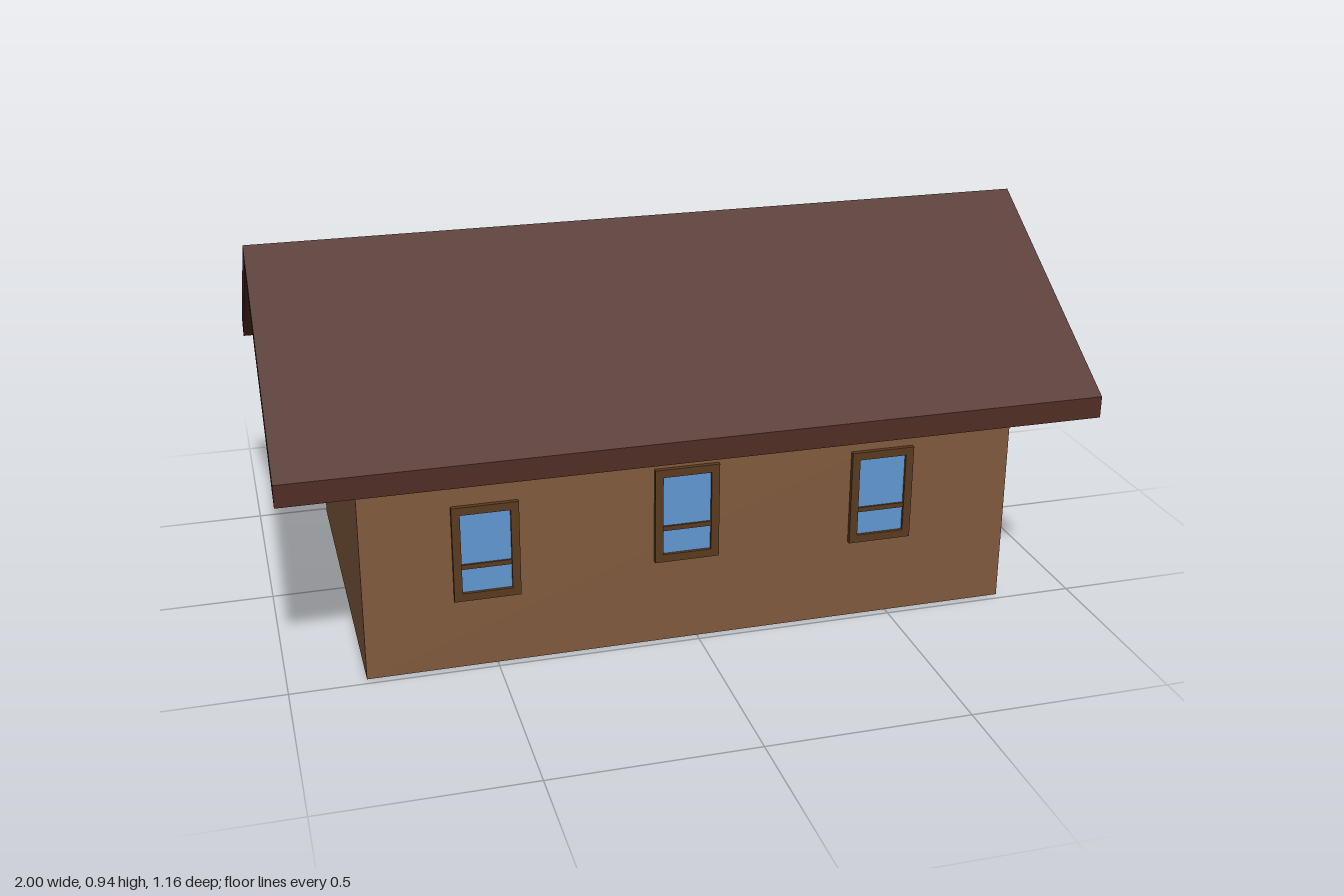
import * as THREE from 'three';

const mat = (color) => new THREE.MeshStandardMaterial({ color, flatShading: true });
const wallMat = mat(0x80593d), roofMat = mat(0x4f2c23), doorMat = mat(0x4c2a22);
const frameMat = mat(0x5a3a1e), glassMat = mat(0x5f96d0);

// House half-depth, and x of the two gable walls
const DEPTH = 0.48, X0 = -0.815, X1 = 0.81;

function add(parent, name, geometry, material, x = 0, y = 0, z = 0) {
  const mesh = new THREE.Mesh(geometry, material);
  mesh.name = name;
  mesh.position.set(x, y, z);
  parent.add(mesh);
  return mesh;
}

const box = (w, h, d) => new THREE.BoxGeometry(w, h, d);

// Extrude a (z, y) outline along x
function extrudeAlongX(points, x0, x1) {
  const shape = new THREE.Shape(points.map(([a, b]) => new THREE.Vector2(a, b)));
  const geometry = new THREE.ExtrudeGeometry(shape, { depth: x1 - x0, bevelEnabled: false });
  return geometry.rotateY(Math.PI / 2).translate(x0, 0, 0);
}

// Flat rectangular frame with an opening, facing +z, back at z = 0
function frameGeometry(w, h, border, depth) {
  const rect = (path, a, b) => path.moveTo(-a, -b).lineTo(a, -b).lineTo(a, b).lineTo(-a, b).closePath();
  const shape = rect(new THREE.Shape(), w / 2, h / 2);
  shape.holes.push(rect(new THREE.Path(), w / 2 - border, h / 2 - border));
  return new THREE.ExtrudeGeometry(shape, { depth, bevelEnabled: false });
}

// Sash window facing +z
function makeWindow() {
  const w = 0.16, h = 0.243, group = new THREE.Group();
  group.name = 'window';
  add(group, 'windowFrame', frameGeometry(w, h, 0.02, 0.012), frameMat);
  add(group, 'windowGlass', box(w - 0.03, h - 0.03, 0.004), glassMat, 0, 0, 0.002);
  add(group, 'windowBar', box(w - 0.04, 0.012, 0.009), frameMat, 0, -0.034, 0.0045);
  return group;
}

// Panelled door facing +z, its foot at y = 0
function makeDoor() {
  const w = 0.195, h = 0.375, group = new THREE.Group();
  group.name = 'door';
  add(group, 'doorFrame', frameGeometry(w, h, 0.019, 0.012), doorMat, 0, h / 2, 0);
  add(group, 'doorLeaf', box(w - 0.03, h - 0.03, 0.004), doorMat, 0, h / 2, 0.002);
  add(group, 'bottomRail', box(w - 0.036, 0.028, 0.01), doorMat, 0, 0.032, 0.005);
  add(group, 'topRail', box(w - 0.036, 0.022, 0.01), doorMat, 0, h - 0.03, 0.005);
  for (const x of [-0.052, 0, 0.052]) {
    for (const [y, ph] of [[0.117, 0.138], [0.262, 0.138]]) {
      add(group, 'doorPanel', box(0.047, ph, 0.008), doorMat, x, y, 0.004);
    }
  }
  return group;
}

export function createModel() {
  const house = new THREE.Group();
  house.name = 'house';

  // Walls with gable ends
  const walls = [[-DEPTH, 0], [DEPTH, 0], [DEPTH, 0.586], [0, 0.895], [-DEPTH, 0.586]];
  add(house, 'walls', extrudeAlongX(walls, X0, X1), wallMat);

  // Pitched roof slab with overhang
  const roof = [[-0.582, 0.515], [0, 0.895], [0.582, 0.515], [0.582, 0.57], [0, 0.945], [-0.582, 0.57]];
  add(house, 'roof', extrudeAlongX(roof, -1, 1), roofMat);

  // Windows: x, y, z, turn about y
  const windows = [
    [-0.52, 0.302, DEPTH, 0], [-0.03, 0.34, DEPTH, 0], [0.47, 0.328, DEPTH, 0],
    [0.35, 0.333, -DEPTH, Math.PI], [-0.28, 0.333, -DEPTH, Math.PI],
    [X1, 0.373, -0.18, Math.PI / 2],
  ];
  for (const [x, y, z, turn] of windows) {
    const win = makeWindow();
    win.position.set(x, y, z);
    win.rotation.y = turn;
    house.add(win);
  }

  // Door in the gable wall
  const door = makeDoor();
  door.position.set(X1, 0.01, 0.148);
  door.rotation.y = Math.PI / 2;
  house.add(door);

  return house;
}
